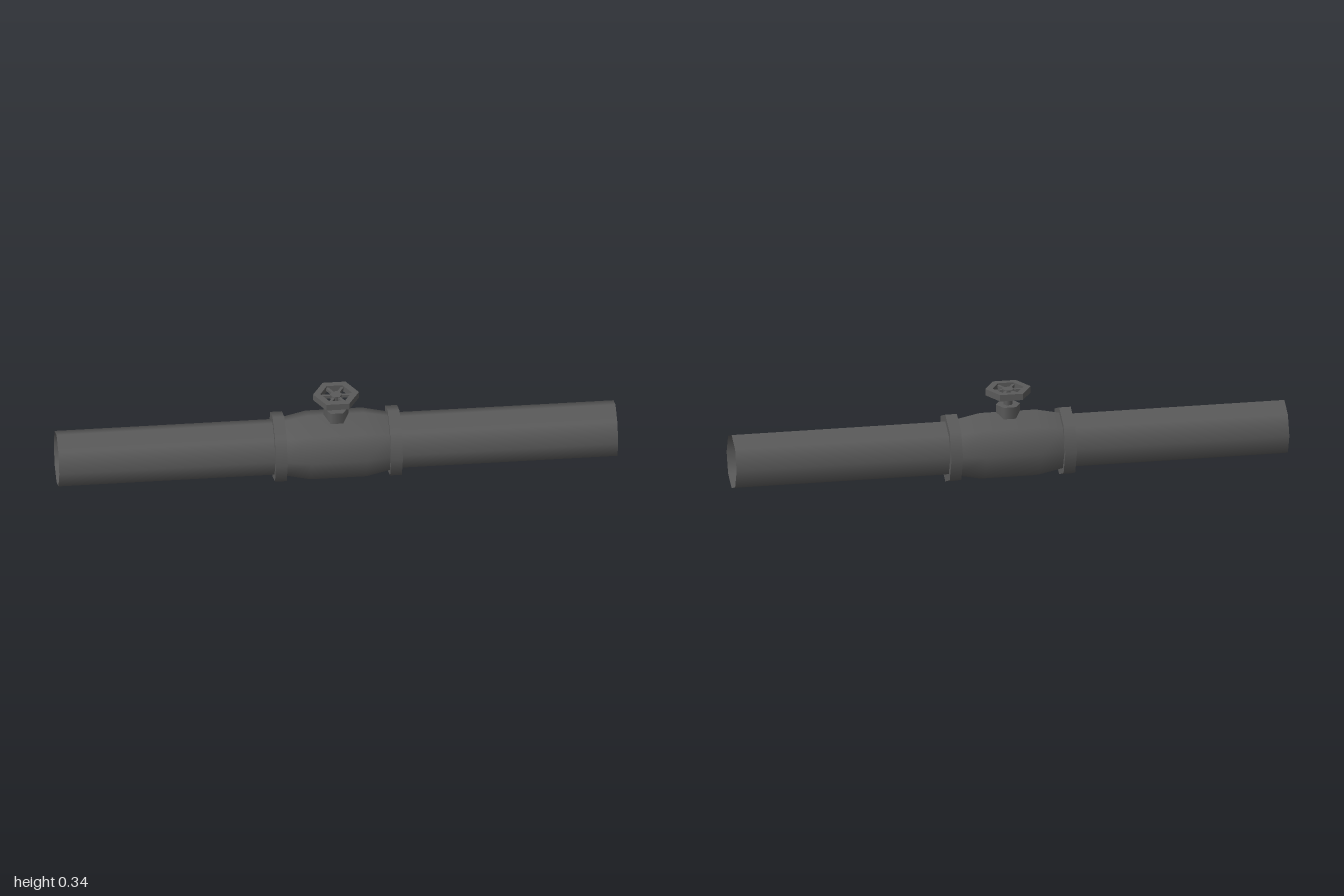
import * as THREE from 'three';

const AXIS_Y = 0.127; // height of the pipe's centre line

export function createModel() {
  const group = new THREE.Group();
  const metal = new THREE.MeshStandardMaterial({ color: 0x5a5a5a });
  const openMetal = new THREE.MeshStandardMaterial({ color: 0x5a5a5a, side: THREE.DoubleSide });

  function add(name, geometry, x, y, material = metal) {
    const mesh = new THREE.Mesh(geometry, material);
    mesh.name = name;
    mesh.position.set(x, y, 0);
    group.add(mesh);
    return mesh;
  }

  // Upright six-sided cylinder with corners on the x axis
  const hexPost = (name, r, y0, y1) =>
    add(name, new THREE.CylinderGeometry(r, r, y1 - y0, 6).rotateY(Math.PI / 6), 0, (y0 + y1) / 2);

  // Open octagonal pipes and solid collars on both sides
  for (const [side, label] of [[1, 'left'], [-1, 'right']]) {
    const pipe = new THREE.CylinderGeometry(0.101, 0.101, 0.79, 8, 1, true).rotateZ(Math.PI / 2);
    add(label + 'Pipe', pipe, side * 0.605, AXIS_Y, openMetal);
    const collar = new THREE.CylinderGeometry(0.127, 0.127, 0.042, 8).rotateZ(Math.PI / 2);
    add(label + 'Collar', collar, side * 0.206, AXIS_Y);
  }

  // Valve body, swelling in the middle
  const profile = [[0.106, -0.19], [0.125, -0.1], [0.125, 0.1], [0.106, 0.19]]
    .map(([r, x]) => new THREE.Vector2(r, x));
  add('valveBody', new THREE.LatheGeometry(profile, 8).rotateZ(Math.PI / 2), 0, AXIS_Y, openMetal);

  // Bonnet and stem
  hexPost('bonnet', 0.044, 0.2, 0.28);
  hexPost('stem', 0.017, 0.27, 0.335);

  // Hexagonal hand wheel rim
  const hexPoints = (r) => Array.from({ length: 6 }, (_, i) =>
    new THREE.Vector2(r * Math.cos(i * Math.PI / 3), r * Math.sin(i * Math.PI / 3)));
  const rim = new THREE.Shape(hexPoints(0.082));
  rim.holes.push(new THREE.Path(hexPoints(0.056).reverse()));
  const rimGeometry = new THREE.ExtrudeGeometry(rim, { depth: 0.024, bevelEnabled: false });
  add('handWheelRim', rimGeometry.rotateX(-Math.PI / 2), 0, 0.318);

  // Hub and spokes
  hexPost('handWheelHub', 0.022, 0.32, 0.338);
  for (let i = 0; i < 6; i++) {
    const spoke = new THREE.BoxGeometry(0.05, 0.011, 0.01).translate(0.036, 0, 0);
    add('handWheelSpoke', spoke.rotateY(i * Math.PI / 3), 0, 0.33);
  }

  return group;
}
